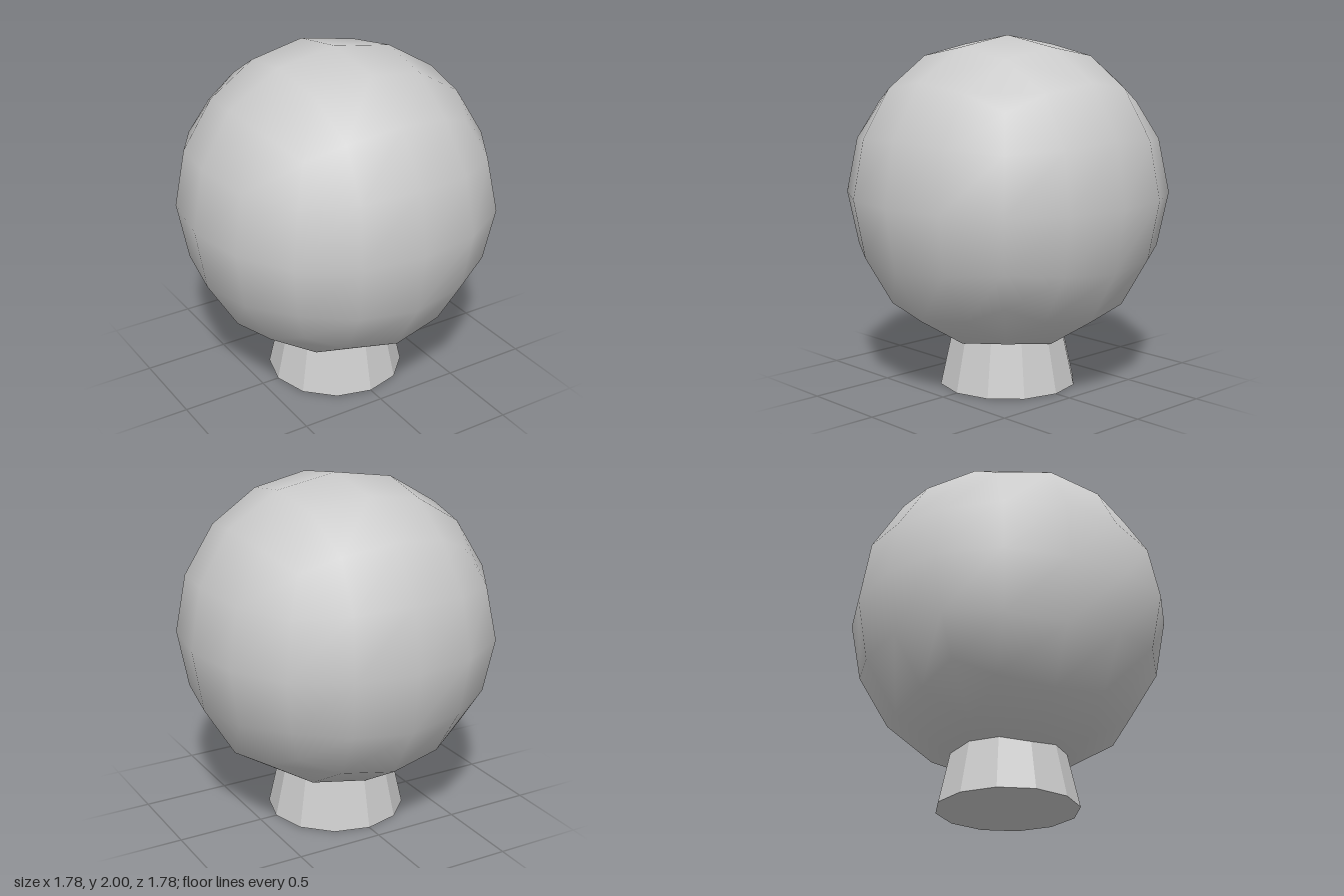
import * as THREE from 'three';
import { mergeVertices } from 'three/addons/utils/BufferGeometryUtils.js';

// Rounded cube positions: for the sorted grid levels of a cube vertex,
// the rounded coordinate for level 0, 1 and 2.
const ROUNDED = {
  '002': [0, 0, 0.878],
  '012': [0, 0.351, 0.819],
  '022': [0, 0, 0.643],
  '112': [0, 0.326, 0.764],
  '122': [0, 0.302, 0.599],
  '222': [0, 0, 0.509],
};

// A 4 x 4 x 4 cube grid rounded into a ball, with smooth shared normals
function ballGeometry(radius) {
  let geo = new THREE.BoxGeometry(4, 4, 4, 4, 4, 4);
  geo.deleteAttribute('normal');
  geo.deleteAttribute('uv');
  geo = mergeVertices(geo);
  const pos = geo.attributes.position;
  const scale = radius / 0.878;
  for (let i = 0; i < pos.count; i++) {
    const p = [pos.getX(i), pos.getY(i), pos.getZ(i)].map(Math.round);
    const row = ROUNDED[p.map(Math.abs).sort().join('')];
    const [x, y, z] = p.map((c) => Math.sign(c) * row[Math.abs(c)] * scale);
    pos.setXYZ(i, x, y, z);
  }
  geo.computeVertexNormals();
  return geo;
}

export function createModel() {
  const model = new THREE.Group();

  // Ball
  const ball = new THREE.Mesh(
    ballGeometry(0.8885),
    new THREE.MeshStandardMaterial({ color: 0xcccccc })
  );
  ball.name = 'ball';
  ball.position.y = 1.1115;
  model.add(ball);

  // Tapered twelve-sided foot
  const foot = new THREE.Mesh(
    new THREE.CylinderGeometry(0.33, 0.397, 0.3, 12),
    new THREE.MeshStandardMaterial({ color: 0xcccccc, flatShading: true })
  );
  foot.name = 'foot';
  foot.position.y = 0.15;
  model.add(foot);

  return model;
}
